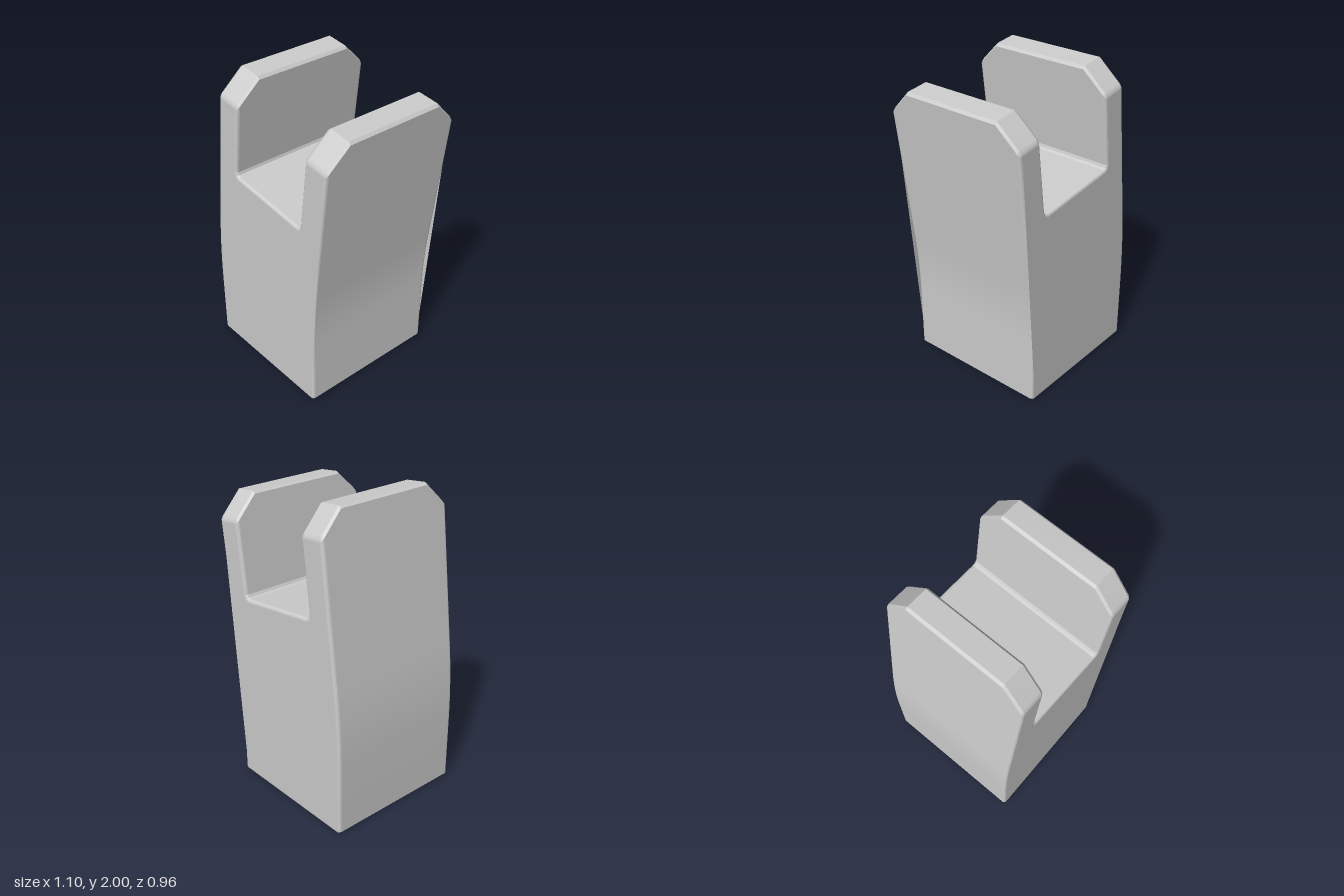
import * as THREE from 'three';
import { toCreasedNormals } from 'three/addons/utils/BufferGeometryUtils.js';

const AXIS = -0.075;            // x of the straight centre line
const HALF = 0.475;             // half width
const TOP = 1.954, FLOOR = 1.321, PRONG = 0.176;
const BEND_START = 0.45, BEND_LENGTH = 0.47, ANGLE = 0.122;
const DEPTH = 0.48, BEVEL = 0.02, WALL = 0.11, CAVITY = 1.12;

// Bends an upright shape towards +x around a gentle arc.
function bend(geometry) {
  const p = geometry.attributes.position;
  const R = BEND_LENGTH / ANGLE;
  for (let i = 0; i < p.count; i++) {
    const u = p.getX(i), v = p.getY(i);
    const s = THREE.MathUtils.clamp(v - BEND_START, 0, BEND_LENGTH);
    const a = s / R;
    const rest = Math.max(0, v - BEND_START - BEND_LENGTH);
    const x = AXIS + R * (1 - Math.cos(a)) + rest * Math.sin(a) + u * Math.cos(a);
    const y = Math.min(v, BEND_START) + R * Math.sin(a) + rest * Math.cos(a) - u * Math.sin(a);
    p.setXY(i, x, y);
  }
  return toCreasedNormals(geometry, 0.15);
}

// Drops the triangles lying on the ground plane, leaving the underside open.
function openBottom(geometry) {
  const g = geometry.index ? geometry.toNonIndexed() : geometry;
  const p = g.attributes.position, kept = [];
  for (let i = 0; i < p.count; i += 3) {
    if ([0, 1, 2].every(k => p.getY(i + k) < 1e-4)) continue;
    for (let k = 0; k < 3; k++) kept.push(p.getX(i + k), p.getY(i + k), p.getZ(i + k));
  }
  const out = new THREE.BufferGeometry();
  out.setAttribute('position', new THREE.Float32BufferAttribute(kept, 3));
  return out;
}

// Forked front outline, extruded front to back with softened edges.
function forkGeometry() {
  const c = 0.016, f = 0.025, inner = HALF - PRONG;
  const right = [[HALF - c, 0], [HALF, c]];
  for (let i = 0; i <= 12; i++) right.push([HALF, BEND_START + BEND_LENGTH * i / 12]);
  right.push([HALF, TOP - c], [HALF - c, TOP], [inner + c, TOP], [inner, TOP - c],
    [inner, FLOOR + f], [inner - f * 0.3, FLOOR + f * 0.3], [inner - f, FLOOR]);
  const left = right.map(([x, y]) => [-x, y]).reverse();
  const shape = new THREE.Shape([...right, ...left].map(([x, y]) => new THREE.Vector2(x, y)));
  const g = new THREE.ExtrudeGeometry(shape, {
    depth: 2 * (DEPTH - BEVEL), steps: 3, bevelEnabled: true, bevelSegments: 4,
    bevelThickness: BEVEL, bevelSize: BEVEL, bevelOffset: -BEVEL,
  });
  g.translate(0, 0, BEVEL - DEPTH);
  // Slope the prong tops down towards the front and back.
  const p = g.attributes.position;
  for (let i = 0; i < p.count; i++) {
    if (Math.abs(p.getZ(i)) < 0.2) p.setZ(i, Math.sign(p.getZ(i)) * 0.33);
    if (p.getY(i) > 1.9) p.setY(i, p.getY(i) - Math.max(0, Math.abs(p.getZ(i)) - 0.33));
  }
  return bend(openBottom(g));
}

// Flat rim around the opening in the underside.
function rimGeometry() {
  const rect = (T, w, d) => new T([[-w, -d], [w, -d], [w, d], [-w, d]]
    .map(([x, y]) => new THREE.Vector2(x, y)));
  const shape = rect(THREE.Shape, HALF - 0.016, DEPTH - BEVEL);
  shape.holes.push(rect(THREE.Path, HALF - WALL, DEPTH - WALL));
  return new THREE.ShapeGeometry(shape).rotateX(Math.PI / 2).translate(AXIS, 0, 0);
}

// Hollow inside, following the bend.
function cavityGeometry() {
  const g = new THREE.BoxGeometry(2 * (HALF - WALL), CAVITY, 2 * (DEPTH - WALL), 1, 24, 1);
  return bend(openBottom(g.translate(0, CAVITY / 2, 0)));
}

export function createModel() {
  const model = new THREE.Group();
  model.name = 'forkedSocket';
  const add = (name, geometry, side) => {
    const mesh = new THREE.Mesh(geometry, new THREE.MeshStandardMaterial({ color: 0xcccccc, side }));
    mesh.name = name;
    model.add(mesh);
  };
  add('forkedBody', forkGeometry(), THREE.FrontSide);
  add('bottomRim', rimGeometry(), THREE.DoubleSide);
  add('innerCavity', cavityGeometry(), THREE.BackSide);
  return model;
}
